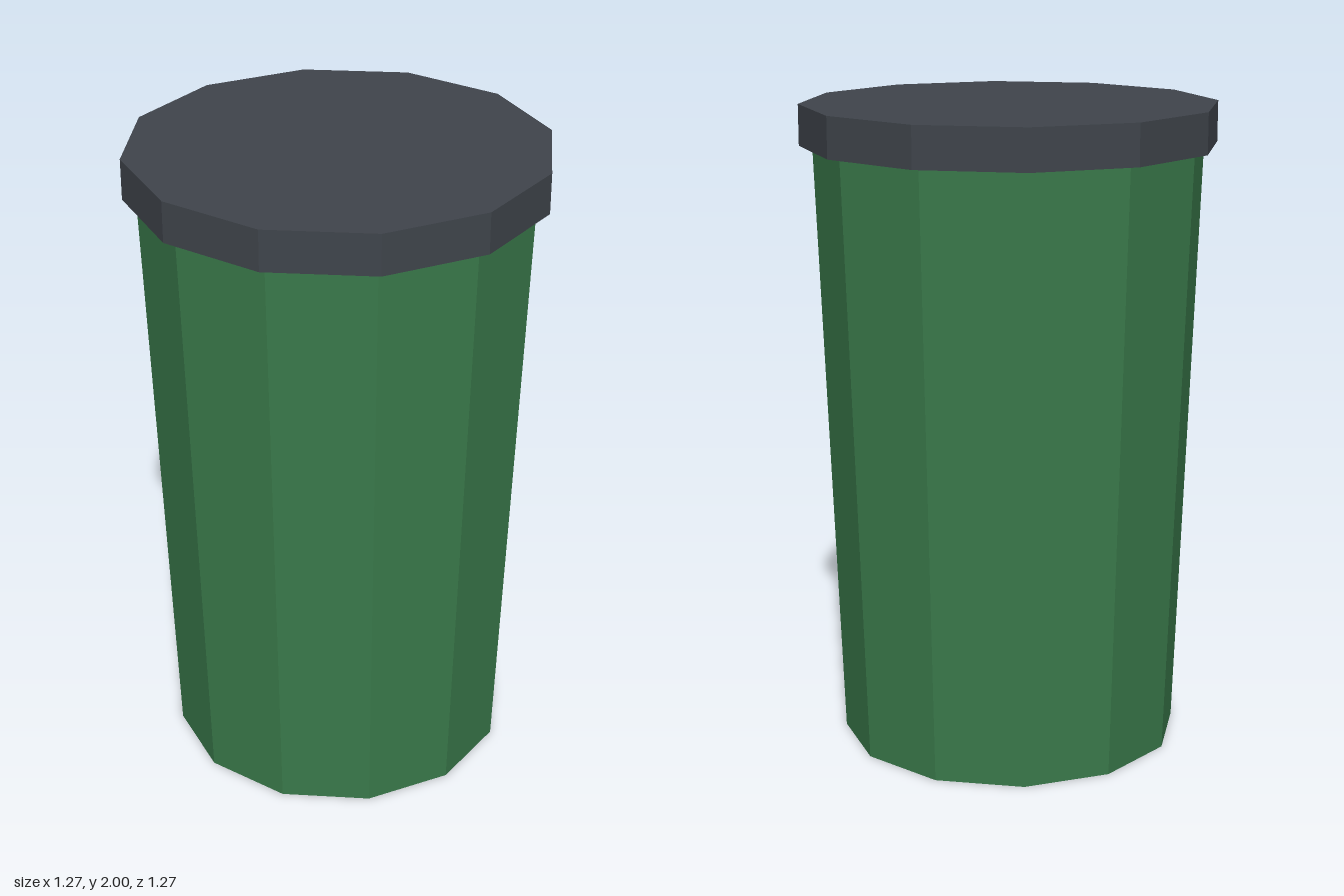
import * as THREE from 'three';

const SIDES = 12;

function drum(name, rTop, rBottom, y0, y1, material) {
  const mesh = new THREE.Mesh(new THREE.CylinderGeometry(rTop, rBottom, y1 - y0, SIDES), material);
  mesh.name = name;
  mesh.position.y = (y0 + y1) / 2;
  return mesh;
}

export function createModel() {
  const green = new THREE.MeshStandardMaterial({ color: 0x3a7a4b, flatShading: true });
  green.name = 'green body';
  const grey = new THREE.MeshStandardMaterial({ color: 0x3f444b, flatShading: true });
  grey.name = 'dark grey lid';

  const model = new THREE.Group();
  model.name = 'bin';
  // tapered twelve-sided body, wider at the top
  model.add(drum('body', 0.597, 0.53, 0, 1.875, green));
  // overhanging flat lid
  model.add(drum('lid', 0.637, 0.637, 1.875, 2, grey));
  return model;
}
